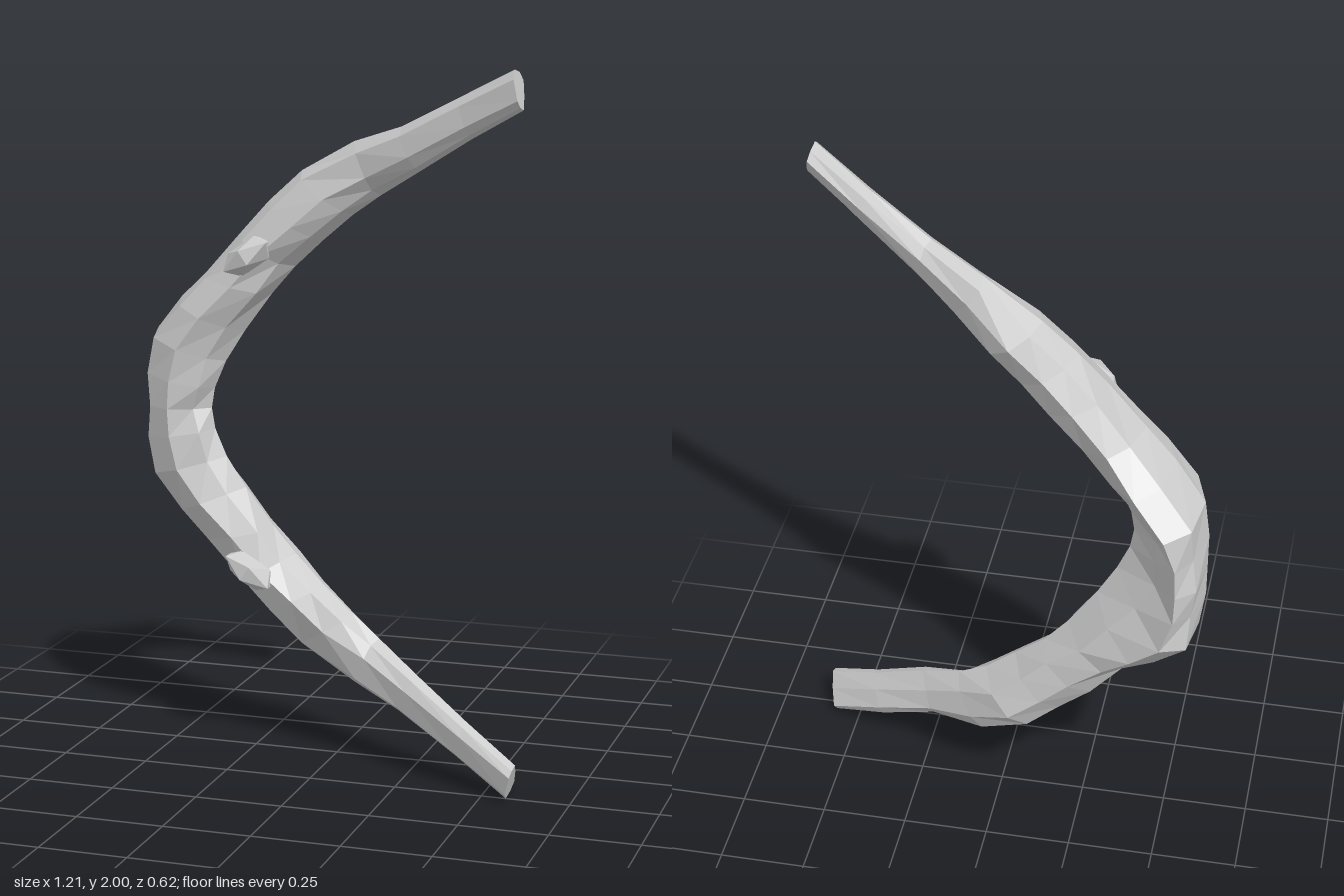
import * as THREE from 'three';

const material = new THREE.MeshStandardMaterial({ color: 0xcccccc, flatShading: true, side: THREE.DoubleSide });
const mix = THREE.MathUtils.lerp;

// Sections from the middle of the body to one tip:
// outer x,y | inner x,y | z of back, front, outer, inner | across-position of back, front | inner-back fullness
const SECTIONS = [
  [-0.605, 1.00, -0.38, 1.00, -0.30, 0.07, -0.12, 0.00, 0.30, 0.50, 0.48],
  [-0.605, 1.10, -0.37, 1.06, -0.30, 0.07, -0.12, 0.00, 0.30, 0.50, 0.48],
  [-0.590, 1.21, -0.335, 1.14, -0.305, 0.075, -0.12, 0.00, 0.35, 0.50, 0.52],
  [-0.500, 1.31, -0.28, 1.23, -0.26, 0.08, -0.08, -0.01, 0.40, 0.50, 0.58],
  [-0.410, 1.39, -0.20, 1.34, -0.20, 0.08, -0.05, -0.02, 0.40, 0.55, 0.65],
  [-0.300, 1.51, -0.13, 1.42, -0.165, 0.08, -0.04, -0.02, 0.45, 0.55, 0.70],
  [-0.220, 1.60, -0.04, 1.50, -0.15, 0.08, -0.05, 0.00, 0.45, 0.60, 0.68],
  [-0.120, 1.69, 0.05, 1.575, -0.14, 0.08, -0.05, 0.01, 0.45, 0.60, 0.66],
  [0.050, 1.78, 0.14, 1.635, -0.06, 0.09, 0.00, 0.04, 0.40, 0.65, 0.64],
  [0.210, 1.83, 0.27, 1.71, 0.03, 0.155, 0.08, 0.11, 0.35, 0.65, 0.62],
  [0.400, 1.92, 0.44, 1.81, 0.11, 0.23, 0.16, 0.19, 0.35, 0.70, 0.60],
  [0.570, 2.00, 0.60, 1.895, 0.19, 0.31, 0.25, 0.27, 0.30, 0.75, 0.55],
];

// Eight points round one section: outer, front, inner, back and the corners between
function ring(section, row, flip) {
  const [ox, oy, ix, iy, zb, zf, zo, zi, sb, sf, k] = section;
  const corner = (s0, s1, z0, z1, full) => [mix(s0, s1, full), mix(z0, z1, full)];
  const outline = [
    [0, zo], corner(sf, 0, zo, zf, 0.7),
    [sf, zf], corner(sf, 1, zi, zf, 0.68),
    [1, zi], corner(sb, 1, zi, zb, k),
    [sb, zb], corner(sb, 0, zo, zb, 0.72),
  ];
  return outline.map(([s, z], j) => {
    // Slight unevenness at the corners, fading out at the tip
    const rough = j % 2 && row < 11 ? 0.008 * Math.sin(row * 2.3 + j * 1.7) : 0;
    const y = mix(oy, iy, s);
    return [mix(ox, ix, s) + rough, flip ? 2 - y : y, z + rough];
  });
}

// Closed skin over the rings, with a flat cap at each end
function loft(rings) {
  const n = rings[0].length, last = (rings.length - 1) * n, index = [];
  for (let i = 0; i < rings.length - 1; i++) {
    for (let j = 0; j < n; j++) {
      const a = i * n + j, b = i * n + (j + 1) % n;
      index.push(a, b, b + n, a, b + n, a + n);
    }
  }
  for (let j = 1; j < n - 1; j++) {
    index.push(0, j + 1, j);
    index.push(last, last + j, last + j + 1);
  }
  const geometry = new THREE.BufferGeometry();
  geometry.setAttribute('position', new THREE.Float32BufferAttribute(rings.flat(2), 3));
  geometry.setIndex(index);
  geometry.computeVertexNormals();
  return geometry;
}

export function createModel() {
  const group = new THREE.Group();
  group.name = 'archedBone';

  // Curved body and both horns in one skin, mirrored about y = 1
  const upper = SECTIONS.map((s, i) => ring(s, i, false));
  const lower = SECTIONS.map((s, i) => ring(s, i, true)).slice(1).reverse();
  const arch = new THREE.Mesh(loft([...lower, ...upper]), material);
  arch.name = 'bodyAndHorns';
  group.add(arch);

  // Small knobs on the front where each horn joins the body
  for (const side of [1, -1]) {
    const knob = new THREE.Mesh(new THREE.IcosahedronGeometry(1, 0), material);
    knob.name = side > 0 ? 'upperKnob' : 'lowerKnob';
    knob.scale.set(0.09, 0.045, 0.06);
    knob.position.set(-0.24, 1 + side * 0.455, 0.072);
    knob.rotation.z = side * 0.6;
    group.add(knob);
  }
  return group;
}
